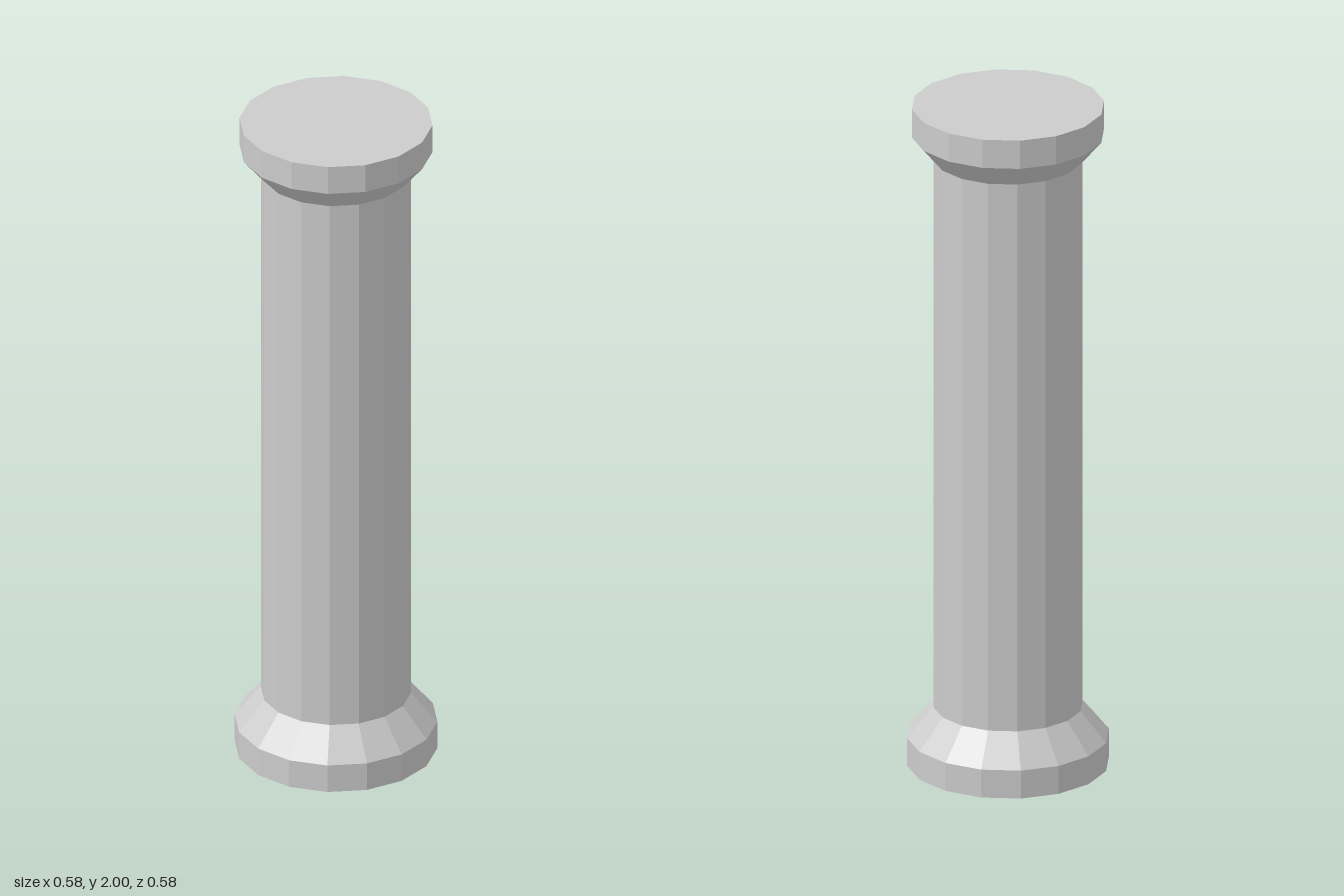
import * as THREE from 'three';

const SIDES = 16;

export function createModel() {
  const group = new THREE.Group();
  group.name = 'column';

  const stone = new THREE.MeshStandardMaterial({ color: 0xcccccc });
  stone.name = 'paleGreyStone';
  stone.flatShading = true;

  // Each part turns a [radius, height] profile, listed from bottom to top
  const addTurned = (name, profile) => {
    const points = profile.map(([r, y]) => new THREE.Vector2(r, y));
    const mesh = new THREE.Mesh(new THREE.LatheGeometry(points, SIDES), stone);
    mesh.name = name;
    group.add(mesh);
  };

  // Closed foot with a sloped shoulder
  addTurned('base', [[0, 0], [0.288, 0], [0.288, 0.085], [0.213, 0.175]]);
  // Straight faceted shaft
  addTurned('shaft', [[0.213, 0.175], [0.213, 1.842]]);
  // Flared head with a flat top
  addTurned('capital', [[0.213, 1.842], [0.274, 1.914], [0.274, 2], [0, 2]]);

  return group;
}
